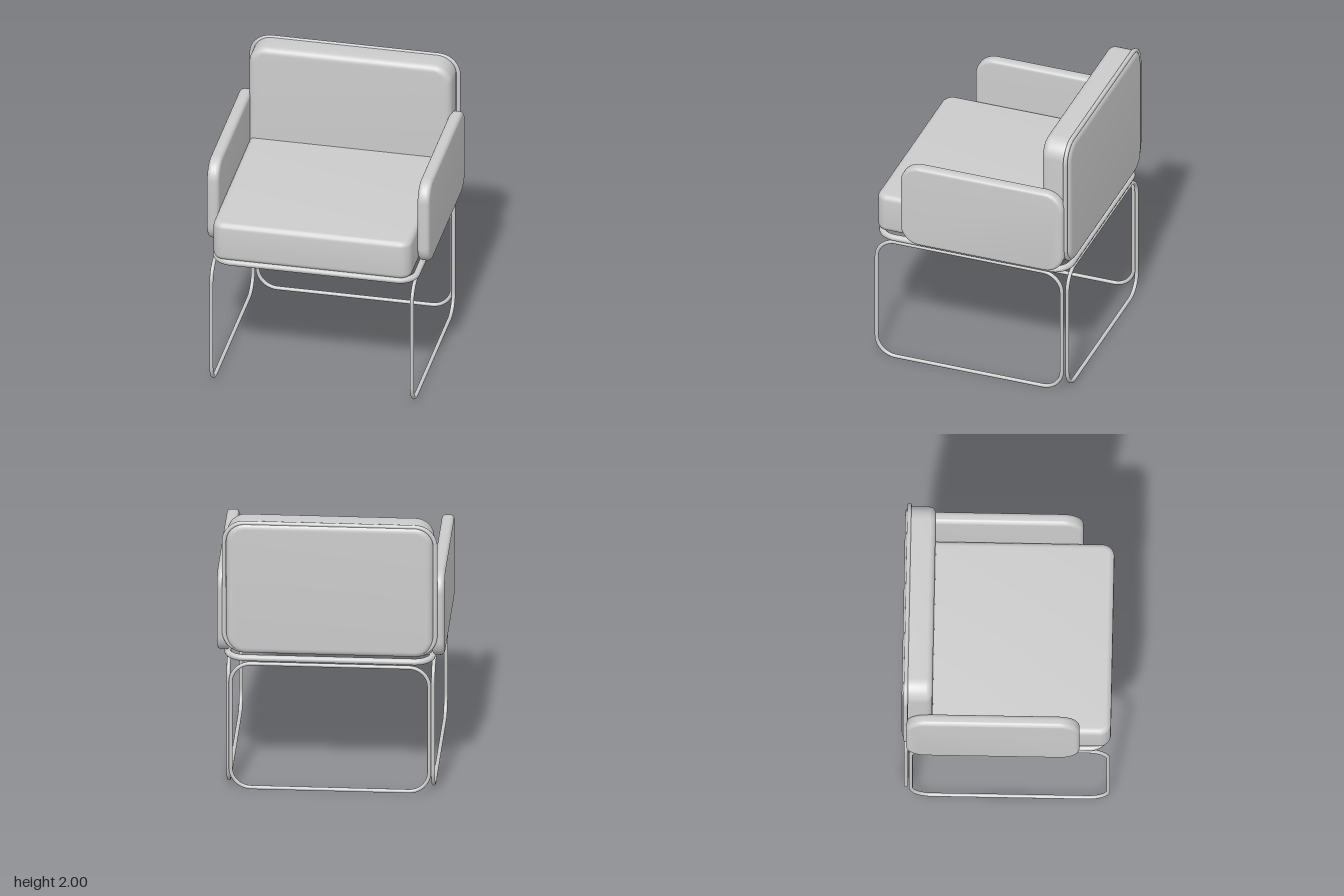
import * as THREE from 'three';
import { mergeVertices, toCreasedNormals } from 'three/addons/utils/BufferGeometryUtils.js';

const material = new THREE.MeshStandardMaterial({ color: 0xcccccc });

// Rounded rectangle centred on the origin
function roundedRect(w, h, r) {
  const x = w / 2 - r, y = h / 2 - r, q = Math.PI / 2;
  const s = new THREE.Shape();
  s.absarc(x, y, r, 0, q);
  s.absarc(-x, y, r, q, 2 * q);
  s.absarc(-x, -y, r, 2 * q, 3 * q);
  s.absarc(x, -y, r, 3 * q, 4 * q);
  s.closePath();
  return s;
}

// Rounded rectangle as a closed path for bent tubing
class LoopCurve extends THREE.Curve {
  constructor(w, h, r) {
    super();
    this.outline = roundedRect(w, h, r);
    this.outline.arcLengthDivisions = 400;
  }
  getPoint(t, target = new THREE.Vector3()) {
    const p = this.outline.getPointAt(t);
    return target.set(p.x, p.y, 0);
  }
}

// Soft slab: w and h are the outline, d the thickness along z
function cushion(w, h, d, corner, soft) {
  const shape = roundedRect(w - 2 * soft, h - 2 * soft, corner - soft);
  const geo = new THREE.ExtrudeGeometry(shape, {
    depth: d - 2 * soft, bevelThickness: soft, bevelSize: soft,
    bevelSegments: 6, curveSegments: 8,
  });
  geo.translate(0, 0, soft - d / 2);
  geo.deleteAttribute('uv');
  geo.deleteAttribute('normal');
  return toCreasedNormals(mergeVertices(geo, 1e-4), 0.7);
}

// Closed tube loop; w and h are its outer size
function tubeLoop(w, h, corner, radius) {
  const path = new LoopCurve(w - 2 * radius, h - 2 * radius, corner);
  return new THREE.TubeGeometry(path, 240, radius, 12, true);
}

export function createModel() {
  const model = new THREE.Group();
  const add = (name, geo, x, y, z) => {
    const mesh = new THREE.Mesh(geo, material);
    mesh.name = name;
    mesh.position.set(x, y, z);
    model.add(mesh);
  };

  // Upholstery
  add('seatCushion', cushion(1.39, 1.36, 0.285, 0.08, 0.04).rotateX(Math.PI / 2), -0.003, 1.1375, 0.033);
  add('backCushion', cushion(1.42, 0.975, 0.21, 0.13, 0.045), 0.005, 1.5025, -0.615);
  for (const [side, name] of [[1, 'leftArm'], [-1, 'rightArm']]) {
    add(name, cushion(1.19, 0.63, 0.085, 0.14, 0.028).rotateY(Math.PI / 2), side * 0.738, 1.305, -0.095);
  }

  // Tubular frames holding the seat and the back
  add('seatFrame', tubeLoop(1.45, 1.42, 0.12, 0.0225).rotateX(Math.PI / 2), 0.01, 0.9775, 0);
  add('backFrame', tubeLoop(1.48, 0.98, 0.14, 0.015), 0.005, 1.51, -0.692);

  // Wire leg loops on the two sides and at the back
  for (const [side, name] of [[1, 'leftLegLoop'], [-1, 'rightLegLoop']]) {
    add(name, tubeLoop(1.38, 0.95, 0.14, 0.0135).rotateY(Math.PI / 2), side * 0.703, 0.475, 0.02);
  }
  add('backLegLoop', tubeLoop(1.39, 0.95, 0.14, 0.0135), 0.003, 0.475, -0.69);

  return model;
}
